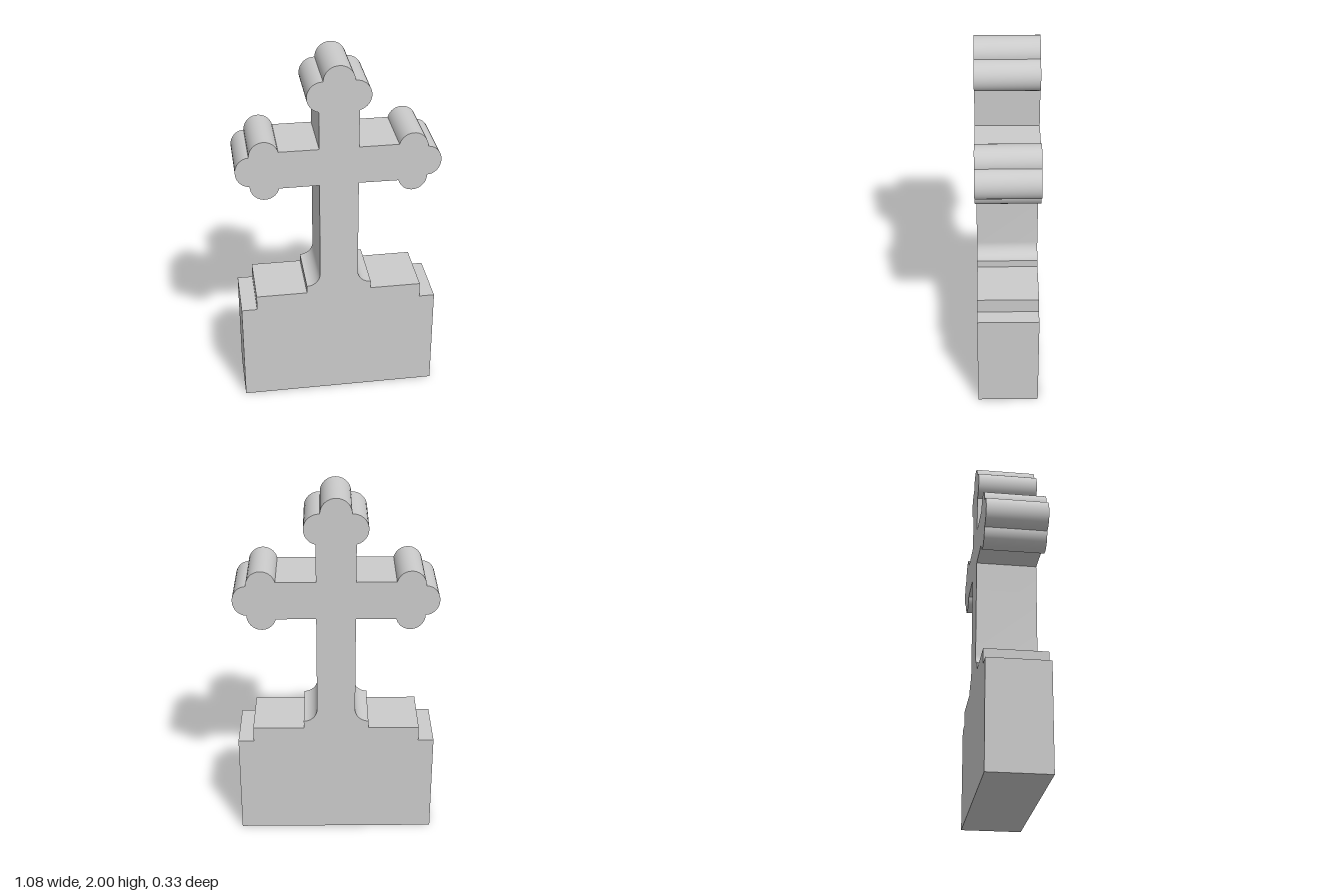
import * as THREE from 'three';
import { toCreasedNormals } from 'three/addons/utils/BufferGeometryUtils.js';

const DEPTH = 0.334;

// Points along an elliptical arc, angles in degrees
function arc(cx, cy, rx, ry, from, to, steps = 16) {
  return Array.from({ length: steps + 1 }, (_, i) => {
    const a = THREE.MathUtils.degToRad(from + ((to - from) * i) / steps);
    return new THREE.Vector2(cx + rx * Math.cos(a), cy + ry * Math.sin(a));
  });
}

const corners = (...pairs) => pairs.map(([x, y]) => new THREE.Vector2(x, y));

export function createModel() {
  // Right half of the outline, from the ground up to the crown
  const half = [
    // stepped base
    ...corners([0.542, 0], [0.542, 0.583], [0.457, 0.583], [0.457, 0.667], [0.178, 0.667]),
    // concave foot flowing into the shaft
    ...arc(0.178, 0.784, 0.074, 0.074, 270, 180, 10),
    // side arm with its three lobes
    ...corners([0.104, 1.337]),
    ...arc(0.39, 1.357, 0.078, 0.082, 195, 360),
    ...arc(0.468, 1.441, 0.073, 0.083, -90, 90),
    ...arc(0.39, 1.525, 0.078, 0.082, 0, 165),
    ...corners([0.104, 1.546]),
    // top arm lobes
    ...arc(0.085, 1.835, 0.082, 0.083, -76, 90),
    ...arc(0, 1.918, 0.082, 0.082, 0, 90, 10),
  ];

  // Mirror the half, sharing the crown point
  const mirrored = half.slice(0, -1).reverse().map((p) => new THREE.Vector2(-p.x, p.y));
  const shape = new THREE.Shape([...half, ...mirrored]);

  const extruded = new THREE.ExtrudeGeometry(shape, { depth: DEPTH, bevelEnabled: false });
  extruded.translate(0, 0, -DEPTH / 2);

  const cross = new THREE.Mesh(
    toCreasedNormals(extruded, Math.PI / 6),
    new THREE.MeshStandardMaterial({ color: 0xcccccc })
  );
  cross.name = 'crossOnSteppedBase';

  const group = new THREE.Group();
  group.name = 'gravestone';
  group.add(cross);
  return group;
}
